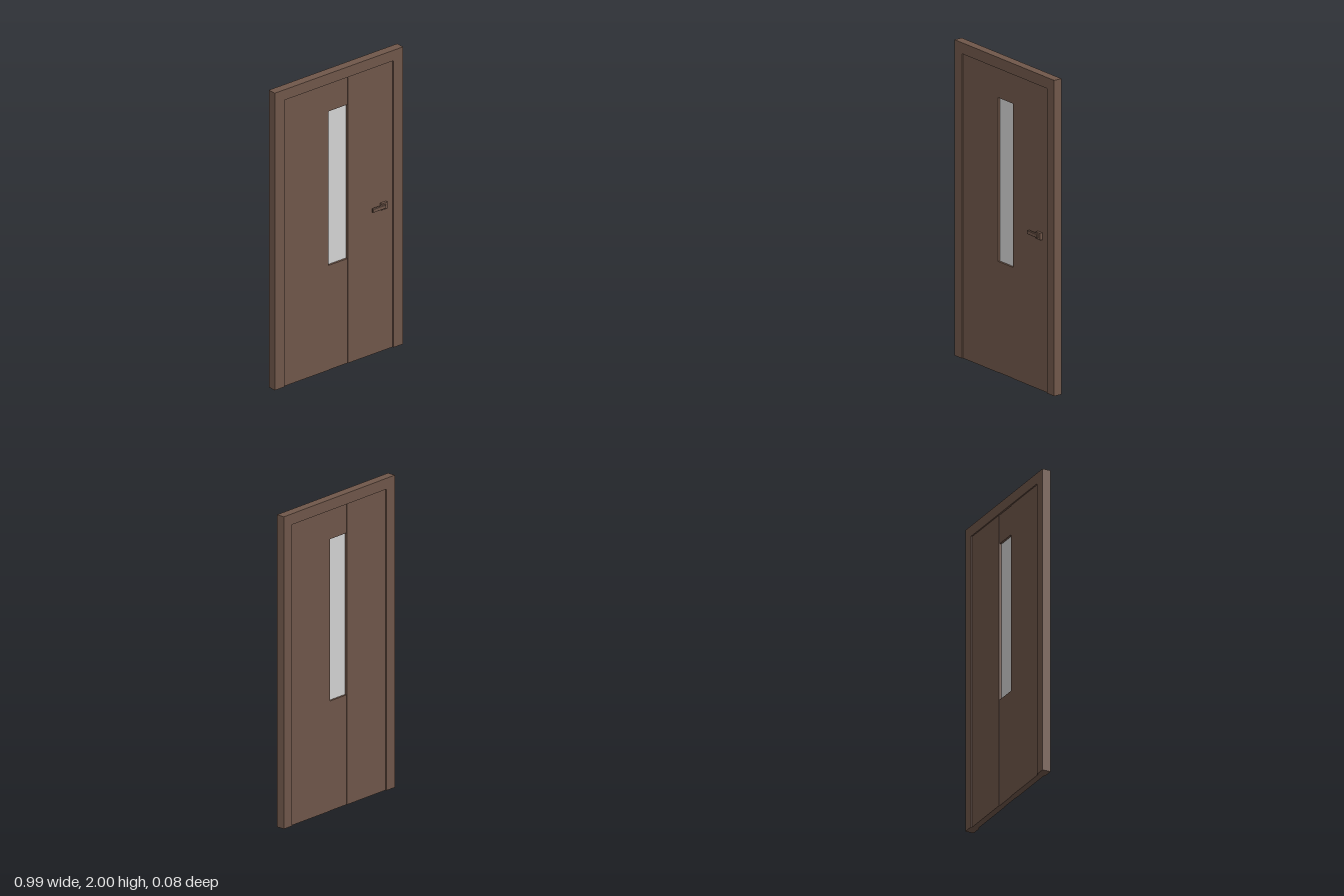
import * as THREE from 'three';

export function createModel() {
  const door = new THREE.Group();
  door.name = 'door';
  const wood = new THREE.MeshStandardMaterial({ color: 0x70574a });
  wood.name = 'brownWood';
  const glass = new THREE.MeshStandardMaterial({ color: 0xd4d4d4 });
  glass.name = 'frostedGlass';

  // Box given by its limits on each axis
  function box(name, [x0, x1], [y0, y1], [z0, z1], material = wood) {
    const mesh = new THREE.Mesh(new THREE.BoxGeometry(x1 - x0, y1 - y0, z1 - z0), material);
    mesh.position.set((x0 + x1) / 2, (y0 + y1) / 2, (z0 + z1) / 2);
    mesh.name = name;
    door.add(mesh);
    return mesh;
  }

  // Frame: one arch-shaped extrusion open at the bottom
  const W = 0.497, INNER = 0.423, HEAD = 1.93, BACK = -0.038, FRONT = 0.018;
  const outline = new THREE.Shape([
    [-W, 0], [-INNER, 0], [-INNER, HEAD], [INNER, HEAD],
    [INNER, 0], [W, 0], [W, 2], [-W, 2],
  ].map(([x, y]) => new THREE.Vector2(x, y)));
  const frame = new THREE.Mesh(
    new THREE.ExtrudeGeometry(outline, { depth: FRONT - BACK, bevelEnabled: false }), wood);
  frame.position.z = BACK;
  frame.name = 'frame';
  door.add(frame);

  // Leaf: two side panels, set slightly back from the frame on both faces
  const leafZ = [BACK + 0.008, FRONT - 0.008];
  const STRIP = 0.075;
  box('leftPanel', [STRIP, INNER], [0, HEAD], leafZ);
  box('rightPanel', [-INNER, -STRIP], [0, HEAD], leafZ);

  // Centre strip above and below the window, a little thinner than the panels
  const stripZ = [leafZ[0] + 0.003, leafZ[1] - 0.003];
  box('lowerCentrePanel', [-STRIP, STRIP], [0, 0.703], stripZ);
  box('upperCentrePanel', [-STRIP, STRIP], [1.74, HEAD], stripZ);
  box('windowGlass', [-STRIP, STRIP], [0.703, 1.74], [-0.014, -0.006], glass);

  // Handle: rose plate, neck and lever with softened edges
  box('handlePlate', [0.325, 0.37], [0.956, 1.0], [leafZ[1], 0.028]);
  box('handleNeck', [0.328, 0.348], [0.97, 0.99], [0.026, 0.034]);
  const bevel = 0.002;
  const leverShape = new THREE.Shape();
  leverShape.moveTo(0.252, 0.969);
  leverShape.lineTo(0.348, 0.969);
  leverShape.lineTo(0.348, 0.989);
  leverShape.lineTo(0.252, 0.989);
  leverShape.closePath();
  const lever = new THREE.Mesh(new THREE.ExtrudeGeometry(leverShape, {
    depth: 0.012, bevelThickness: bevel, bevelSize: bevel, bevelSegments: 1,
  }), wood);
  lever.position.z = 0.022 + bevel;
  lever.name = 'handleLever';
  door.add(lever);

  return door;
}
